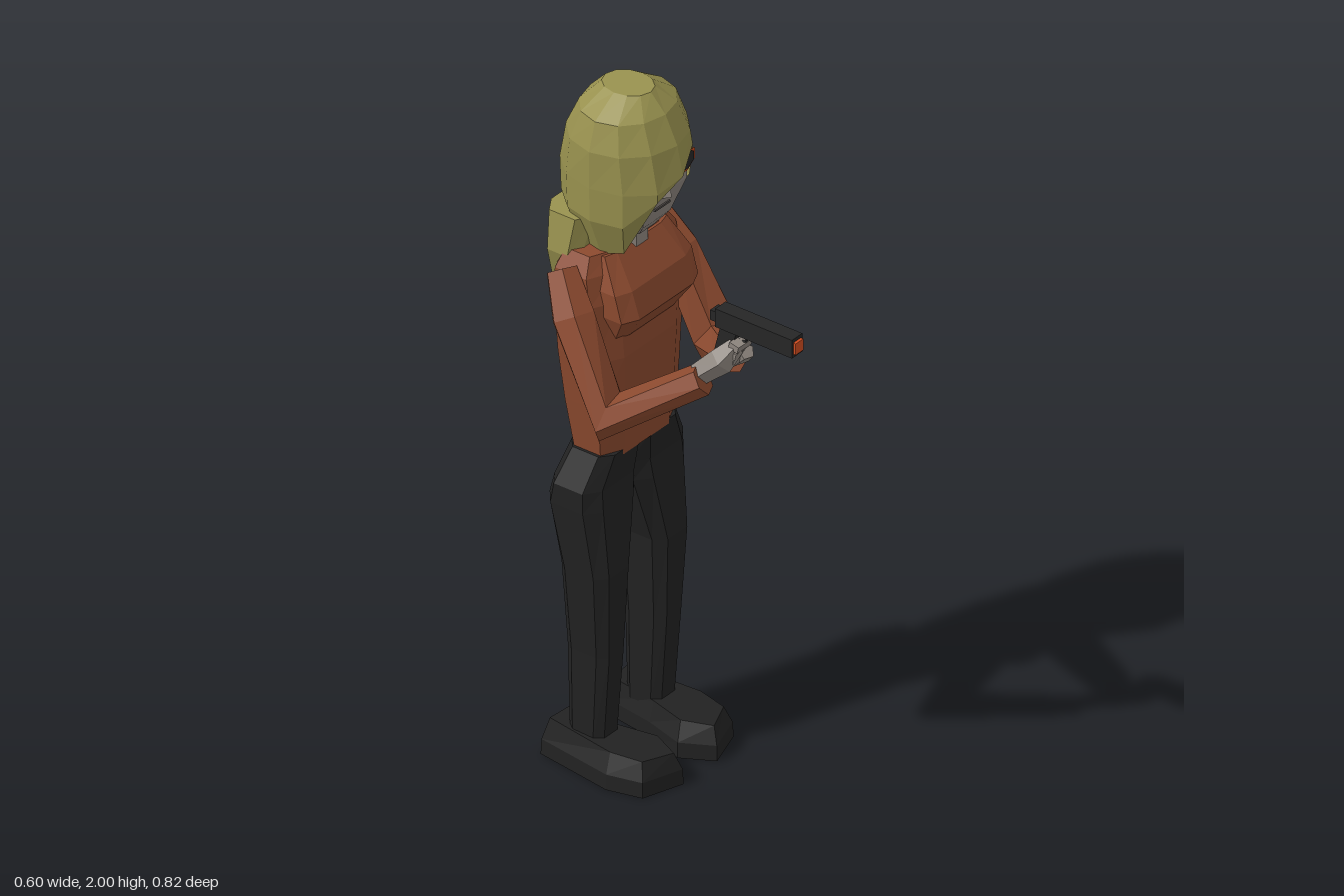
import * as THREE from 'three';

const material = (name, color, side = THREE.FrontSide) => {
  const m = new THREE.MeshStandardMaterial({ color, flatShading: true, side });
  m.name = name;
  return m;
};
const V = (x, y, z) => new THREE.Vector3(x, y, z);
const CX = 0.03; // centre line of the body

// Skin a geometry over rings of points, counter-clockwise seen from the far end
function loft(rings, capped = true) {
  const out = [];
  const tri = (a, b, c) => {
    const area = b.clone().sub(a).cross(c.clone().sub(a)).length();
    if (area > 1e-9) [a, b, c].forEach((p) => out.push(p.x, p.y, p.z));
  };
  const n = rings[0].length;
  for (let i = 0; i < rings.length - 1; i++) {
    for (let j = 0; j < n; j++) {
      const k = (j + 1) % n, lo = rings[i], hi = rings[i + 1];
      tri(lo[j], lo[k], hi[k]);
      tri(lo[j], hi[k], hi[j]);
    }
  }
  const cap = (ring, flip) => {
    for (let j = 1; j < n - 1; j++) {
      if (flip) tri(ring[0], ring[j + 1], ring[j]);
      else tri(ring[0], ring[j], ring[j + 1]);
    }
  };
  if (capped) cap(rings[0], true);
  cap(rings[rings.length - 1], false);
  const g = new THREE.BufferGeometry();
  g.setAttribute('position', new THREE.Float32BufferAttribute(out, 3));
  g.computeVertexNormals();
  return g;
}

// Stack of bevelled rectangles: each row is [y, x0, x1, z0, z1]
function stack(rows, k = 0.6) {
  const corners = [[1, -k], [k, -1], [-k, -1], [-1, -k], [-1, k], [-k, 1], [k, 1], [1, k]];
  return loft(rows.map(([y, x0, x1, z0, z1]) => corners.map(([x, z]) =>
    V((x0 + x1) / 2 + (x * (x1 - x0)) / 2, y, (z0 + z1) / 2 + (z * (z1 - z0)) / 2))));
}

// Faceted limb along a bent path
function limb(path, radii, sides = 6) {
  const pts = path.map((p) => V(...p)), last = pts.length - 1;
  const normal = pts[1].clone().sub(pts[0]).cross(pts[last].clone().sub(pts[last - 1]));
  if (normal.length() < 1e-6) normal.set(1, 0, 0.1);
  return loft(pts.map((p, i) => {
    const t = V(0, 0, 0);
    if (i > 0) t.add(p.clone().sub(pts[i - 1]).normalize());
    if (i < last) t.add(pts[i + 1].clone().sub(p).normalize());
    t.normalize();
    const u = normal.clone().addScaledVector(t, -normal.dot(t)).normalize();
    const v = t.clone().cross(u);
    return Array.from({ length: sides }, (_, j) => {
      const a = ((j + 0.5) / sides) * Math.PI * 2;
      return p.clone().addScaledVector(u, Math.cos(a) * radii[i]).addScaledVector(v, Math.sin(a) * radii[i]);
    });
  }));
}

export function createModel() {
  const model = new THREE.Group();
  model.name = 'figure';
  const hair = material('hair olive blond', 0x99924f, THREE.DoubleSide);
  const shirt = material('shirt rust', 0x8c4a2f);
  const black = material('black cloth', 0x222222);
  const metal = material('dark metal', 0x262626);
  const skin = material('skin grey', 0x8f8780);
  const orange = material('orange trim', 0xd04c20);
  const lip = material('mouth grey', 0x4f4a47);
  const add = (name, geometry, mat, pos = [0, 0, 0], rotX = 0) => {
    const mesh = new THREE.Mesh(geometry, mat);
    mesh.name = name;
    mesh.position.set(...pos);
    mesh.rotation.x = rotX;
    model.add(mesh);
    return mesh;
  };

  // Torso and chest
  add('torso', stack([
    [0.94, -0.12, 0.19, -0.31, -0.17],
    [1.1, -0.14, 0.2, -0.335, -0.155],
    [1.25, -0.155, 0.21, -0.35, -0.15],
    [1.42, -0.165, 0.215, -0.355, -0.16],
    [1.5, -0.16, 0.215, -0.35, -0.18],
    [1.55, -0.13, 0.18, -0.33, -0.2],
  ]), shirt);
  add('chest', stack([
    [1.31, -0.1, 0.16, -0.25, -0.15],
    [1.385, -0.13, 0.19, -0.25, -0.1],
    [1.46, -0.13, 0.19, -0.25, -0.125],
    [1.545, -0.1, 0.16, -0.26, -0.19],
  ], 0.7), shirt);

  // Legs and shoes, mirrored about the centre line
  const legRows = [
    [0.08, 0.075, 0.165, -0.3, -0.19],
    [0.35, 0.07, 0.17, -0.305, -0.17],
    [0.6, 0.055, 0.19, -0.315, -0.16],
    [0.8, 0, 0.21, -0.35, -0.175],
    [0.86, -0.01, 0.21, -0.335, -0.18],
    [0.955, -0.01, 0.16, -0.31, -0.17],
  ];
  const sole = [[0.18, -0.37], [0.08, -0.365], [0.055, -0.2], [0.02, -0.08],
    [0.07, 0.01], [0.19, -0.03], [0.215, -0.13]];
  for (const s of [1, -1]) {
    const side = s > 0 ? 'left' : 'right';
    add(side + 'Leg', stack(legRows.map(([y, a, b, z0, z1]) =>
      [y, CX + Math.min(s * a, s * b), CX + Math.max(s * a, s * b), z0, z1])), black);
    const outline = s > 0 ? sole : [...sole].reverse();
    const ring = (y, fx, fz) => outline.map(([x, z]) =>
      V(CX + s * (0.12 + (x - 0.12) * fx), y + (y > 0.05 ? -0.04 * (z + 0.37) : 0), -0.2 + (z + 0.2) * fz));
    add(side + 'Shoe', loft([ring(0, 1, 1), ring(0.045, 0.98, 0.99), ring(0.108, 0.72, 0.9)]), black);
  }

  // Arms bent forward to a two-handed grip
  add('rightArm', limb([[-0.17, 1.51, -0.285], [-0.205, 1.41, -0.22], [-0.235, 1.175, -0.08],
    [-0.138, 1.33, 0.15]], [0.045, 0.062, 0.072, 0.044]), shirt);
  add('leftArm', limb([[0.215, 1.5, -0.28], [0.225, 1.41, -0.22], [0.23, 1.175, -0.085],
    [-0.015, 1.335, 0.145]], [0.045, 0.062, 0.072, 0.046]), shirt);
  add('rightHand', limb([[-0.13, 1.335, 0.13], [-0.105, 1.385, 0.185], [-0.08, 1.43, 0.215]],
    [0.032, 0.038, 0.025], 5), skin);
  add('leftHand', limb([[-0.02, 1.335, 0.125], [-0.04, 1.375, 0.185], [-0.065, 1.41, 0.235]],
    [0.032, 0.038, 0.022], 5), skin);
  for (let i = 0; i < 3; i++) {
    add('finger' + (i + 1), new THREE.BoxGeometry(0.06, 0.02, 0.03), skin,
      [-0.075, 1.435 - i * 0.024, 0.222 - i * 0.008], 0.25);
  }

  // Pistol
  add('pistolSlide', new THREE.BoxGeometry(0.044, 0.055, 0.25), metal, [-0.073, 1.496, 0.28]);
  add('pistolHammer', new THREE.BoxGeometry(0.034, 0.03, 0.03), metal, [-0.073, 1.495, 0.15]);
  add('pistolGrip', new THREE.BoxGeometry(0.032, 0.13, 0.05), metal, [-0.073, 1.42, 0.18], 0.25);
  add('triggerGuard', new THREE.TorusGeometry(0.02, 0.004, 4, 8), metal, [-0.073, 1.46, 0.225]).rotation.y = Math.PI / 2;
  add('muzzle', new THREE.BoxGeometry(0.032, 0.034, 0.012), orange, [-0.073, 1.496, 0.407]);

  // Neck, head and face
  add('neck', stack([[1.5, -0.01, 0.07, -0.28, -0.18], [1.64, -0.01, 0.07, -0.28, -0.18]]), skin);
  add('head', stack([
    [1.58, -0.015, 0.075, -0.26, -0.165],
    [1.62, -0.05, 0.115, -0.3, -0.135],
    [1.72, -0.085, 0.15, -0.36, -0.1],
    [1.82, -0.09, 0.155, -0.36, -0.1],
    [1.92, -0.06, 0.12, -0.32, -0.14],
  ], 0.7), skin);
  add('nose', loft([
    [V(0.05, 1.7, -0.11), V(0.014, 1.7, -0.11), V(0.032, 1.705, -0.085)],
    [V(0.04, 1.78, -0.105), V(0.024, 1.78, -0.105), V(0.032, 1.78, -0.096)],
  ]), skin);
  add('mouth', new THREE.BoxGeometry(0.062, 0.006, 0.008), lip, [0.03, 1.67, -0.116]);

  // Glasses: an octagonal rim with a dark lens on each side
  const disc = (w, h) => new THREE.CylinderGeometry(1.08, 1.08, 0.008, 8)
    .rotateY(Math.PI / 8).rotateX(Math.PI / 2).scale(w / 2, h / 2, 1);
  for (const s of [1, -1]) {
    const side = s > 0 ? 'left' : 'right', x = 0.034 + s * 0.051;
    add(side + 'Rim', disc(0.102, 0.074), orange, [x, 1.787, -0.095]);
    add(side + 'Lens', disc(0.084, 0.056), metal, [x, 1.787, -0.09]);
  }

  // Hair shell: columns hang to different lengths, leaving the face open
  const profile = [[2.0, 0.37, 0.4], [1.95, 0.85, 0.66], [1.87, 1, 0.87], [1.76, 1, 1],
    [1.66, 0.98, 0.98], [1.5, 0.6, 0.6]];
  const hem = [1.57, 1.55, 1.52, 1.5, 1.5, 1.5, 1.54, 1.56, 1.735, 1.785, 1.83, 1.69];
  const spread = (y) => {
    let i = 1;
    while (i < profile.length - 1 && profile[i][0] > y) i++;
    const [a, b] = [profile[i - 1], profile[i]], t = (a[0] - y) / (a[0] - b[0]);
    return [a[1] + (b[1] - a[1]) * t, a[2] + (b[2] - a[2]) * t];
  };
  add('hair', loft([...profile].reverse().map(([level]) => hem.map((low, j) => {
    const y = Math.max(level, low), a = (j / hem.length) * Math.PI * 2, [fx, fz] = spread(y);
    return V(CX + Math.cos(a) * 0.164 * fx, y, -0.225 - Math.sin(a) * 0.184 * fz);
  })), false), hair);
  add('hairTail', stack([
    [1.39, -0.098, -0.085, -0.366, -0.356],
    [1.53, -0.14, 0.03, -0.378, -0.27],
    [1.64, -0.125, 0.1, -0.39, -0.25],
  ]), hair);

  return model;
}
